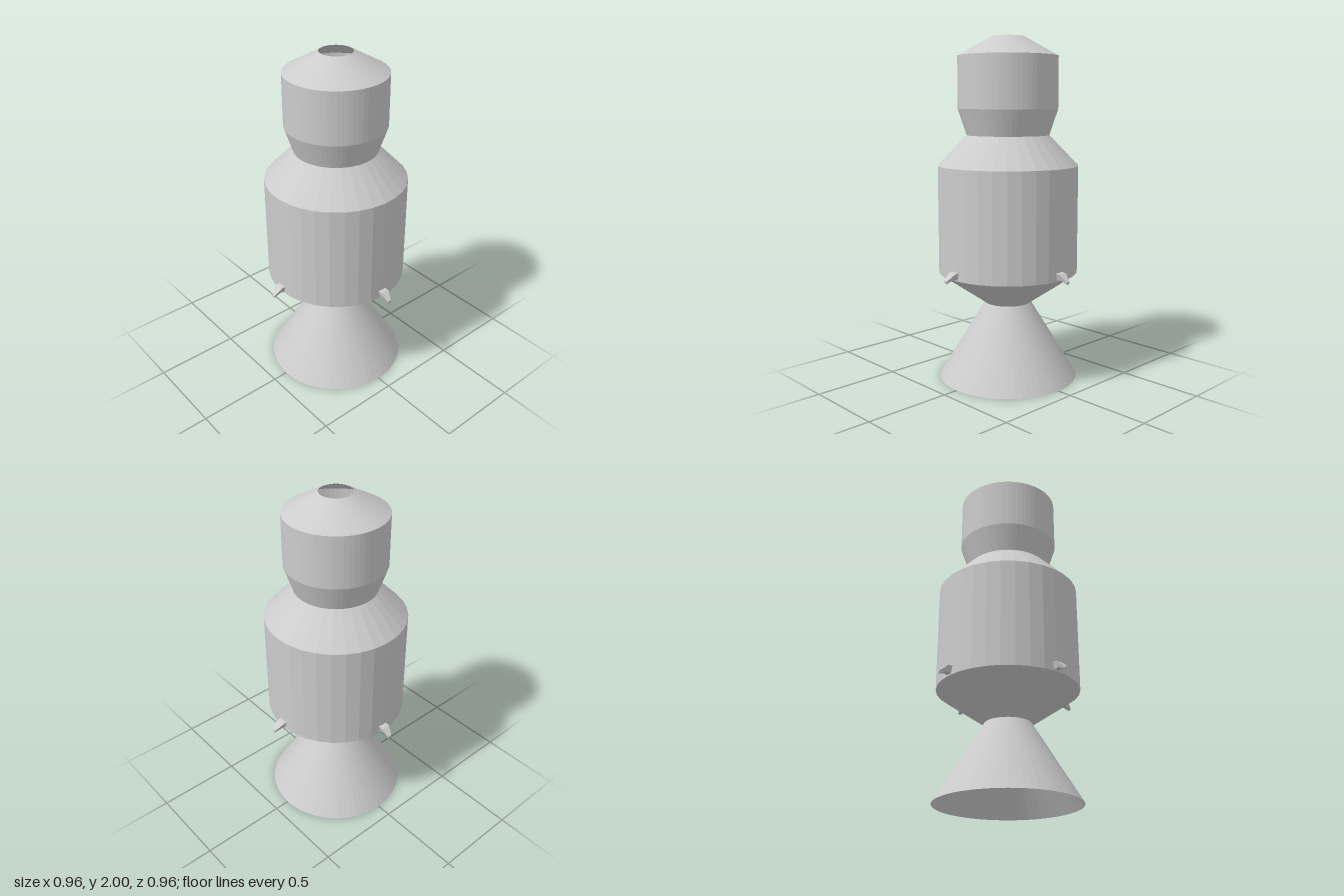
import * as THREE from 'three';

export function createModel() {
  const model = new THREE.Group();
  const grey = new THREE.MeshStandardMaterial({ color: 0xcccccc, flatShading: true, side: THREE.DoubleSide });
  grey.name = 'hullGrey';

  // Open shell of revolution through [radius, height] points
  function shell(name, profile, segments) {
    const points = profile.map(([r, y]) => new THREE.Vector2(r, y));
    const mesh = new THREE.Mesh(new THREE.LatheGeometry(points, segments), grey);
    mesh.name = name;
    model.add(mesh);
  }
  shell('engineBell', [[0.41, 0], [0.135, 0.45]], 64);
  shell('lowerCone', [[0.135, 0.45], [0.41, 0.64]], 32);
  shell('mainBody', [[0.41, 0.64], [0.41, 1.265]], 32);
  shell('shoulder', [[0.41, 1.265], [0.24, 1.44]], 32);
  shell('capsule', [[0.24, 1.44], [0.29, 1.59], [0.29, 1.89]], 64);
  shell('openNose', [[0.29, 1.89], [0.093, 2]], 64);

  // Small drooping thruster: sections of [radius, top, bottom, half width top, half width bottom]
  const sections = [
    [0.395, 0.692, 0.645, 0.027, 0.016],
    [0.435, 0.686, 0.652, 0.027, 0.016],
    [0.456, 0.668, 0.645, 0.02, 0.013],
    [0.478, 0.65, 0.635, 0.011, 0.01],
  ];
  function thrusterGeometry(skew) {
    const positions = [], index = [];
    sections.forEach(([r, top, bottom, a, b], i) => {
      const s = i > 1 ? skew * (i - 1) / 2 : 0;
      positions.push(r, top, s - a, r, top, s + a, r, bottom, s + b, r, bottom, s - b);
      if (i === 0) return;
      for (let k = 0; k < 4; k++) {
        const p = (i - 1) * 4 + k, q = (i - 1) * 4 + (k + 1) % 4;
        index.push(p, q, q + 4, p, q + 4, p + 4);
      }
    });
    const e = (sections.length - 1) * 4;
    index.push(e, e + 1, e + 2, e, e + 2, e + 3);
    const geometry = new THREE.BufferGeometry();
    geometry.setAttribute('position', new THREE.Float32BufferAttribute(positions, 3));
    geometry.setIndex(index);
    geometry.computeVertexNormals();
    return geometry;
  }
  // Tips lean slightly sideways
  ['left', 'back', 'right', 'front'].forEach((side, i) => {
    const skew = [0.004, 0.005, 0.004, -0.005][i];
    const thruster = new THREE.Mesh(thrusterGeometry(skew), grey);
    thruster.name = side + 'Thruster';
    thruster.rotation.y = i * Math.PI / 2;
    model.add(thruster);
  });

  return model;
}
